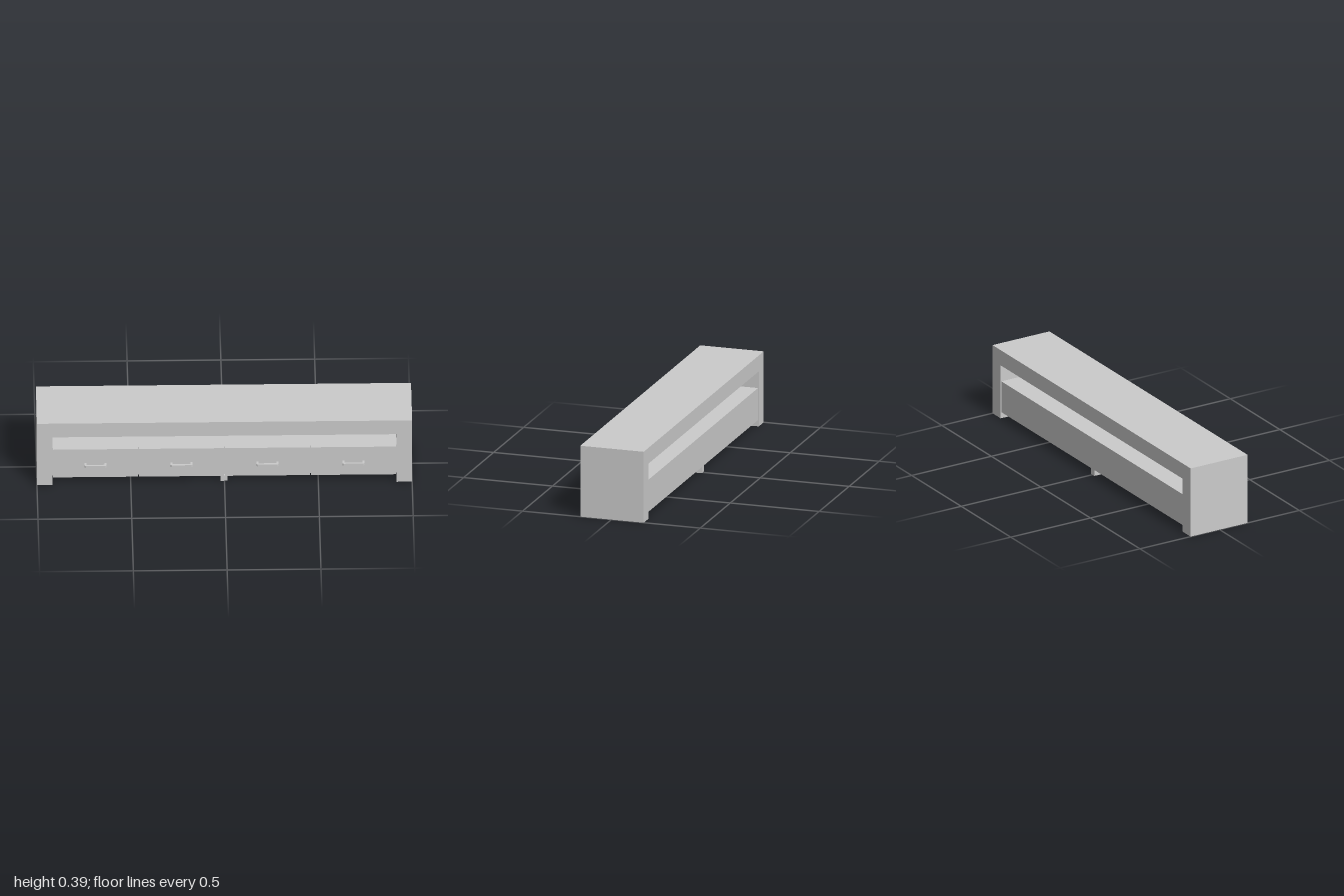
import * as THREE from 'three';

const material = new THREE.MeshStandardMaterial({ color: 0xcccccc });

function addMesh(parent, name, geometry, x = 0, y = 0, z = 0) {
  const mesh = new THREE.Mesh(geometry, material);
  mesh.name = name;
  mesh.position.set(x, y, z);
  parent.add(mesh);
  return mesh;
}

// Box given by its minimum and maximum corners
function addBox(parent, name, [x0, y0, z0], [x1, y1, z1]) {
  return addMesh(parent, name, new THREE.BoxGeometry(x1 - x0, y1 - y0, z1 - z0),
    (x0 + x1) / 2, (y0 + y1) / 2, (z0 + z1) / 2);
}

function extrude(points, depth) {
  const shape = new THREE.Shape(points.map(([x, y]) => new THREE.Vector2(x, y)));
  return new THREE.ExtrudeGeometry(shape, { depth, bevelEnabled: false });
}

export function createModel() {
  const model = new THREE.Group();
  model.name = 'lowMediaBench';

  const inner = 0.917, back = -0.182, front = 0.175;
  const bottom = 0.035, top = 0.213, drawerFace = 0.155;

  // Arch of two side panels and a thick top
  addMesh(model, 'frame', extrude([
    [-1, 0], [-inner, 0], [-inner, 0.306], [inner, 0.306],
    [inner, 0], [1, 0], [1, 0.394], [-1, 0.394],
  ], front - back), 0, 0, back);

  // Cabinet body hung between the side panels
  addBox(model, 'cabinetBody', [-inner, bottom, -0.178], [inner, top, 0.137]);

  // Middle support rail on the floor
  addBox(model, 'centreFoot', [-0.02, 0, -0.177], [0.016, bottom, 0.15]);

  // Four drawer fronts, each with a bent bar handle
  const width = inner * 2 / 4, gap = 0.002;
  const handleHeight = 0.013, reach = 0.184 - drawerFace;
  const handleGeometry = extrude([
    [-0.059, 0], [-0.059, -reach + 0.006], [-0.053, -reach], [0.053, -reach],
    [0.059, -reach + 0.006], [0.059, 0], [0.047, 0], [0.047, -reach + 0.012],
    [-0.047, -reach + 0.012], [-0.047, 0],
  ], handleHeight);
  handleGeometry.rotateX(-Math.PI / 2);

  for (let i = 0; i < 4; i++) {
    const x = (i - 1.5) * width;
    const drawer = new THREE.Group();
    drawer.name = `drawer${i + 1}`;
    addBox(drawer, 'drawerFront',
      [x - width / 2 + gap, bottom, 0.137], [x + width / 2 - gap, top, drawerFace]);
    addMesh(drawer, 'handle', handleGeometry, x, 0.112, drawerFace);
    model.add(drawer);
  }

  return model;
}
